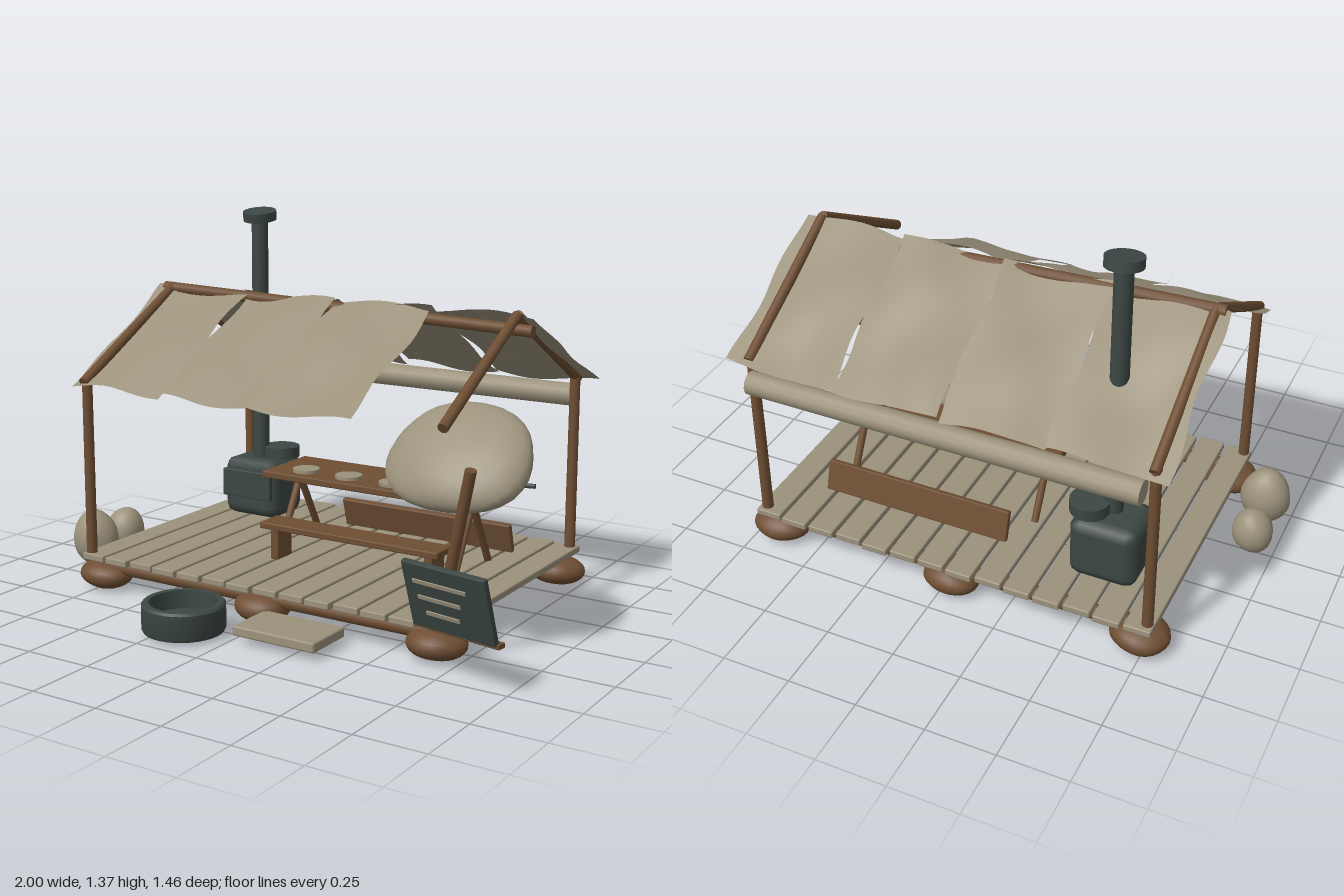
import * as THREE from 'three';
import { toCreasedNormals } from 'three/addons/utils/BufferGeometryUtils.js';
import { RoundedBoxGeometry } from 'three/addons/geometries/RoundedBoxGeometry.js';

export function createModel() {
  const model = new THREE.Group();
  model.name = 'fieldKitchen';
  const material = (name, color) => Object.assign(new THREE.MeshStandardMaterial({ color }), { name });
  const canvas = material('canvas', 0x9c927c);
  canvas.side = THREE.DoubleSide;
  const wood = material('wood', 0x6e4e33);
  const iron = material('iron', 0x3c4744);

  const add = (name, geometry, mat, pos = [0, 0, 0], parent = model) => {
    const mesh = new THREE.Mesh(geometry, mat);
    mesh.name = name;
    mesh.position.set(...pos);
    parent.add(mesh);
    return mesh;
  };
  const box = (name, size, pos, mat, parent) =>
    add(name, new RoundedBoxGeometry(...size, 1, Math.min(...size) * 0.2), mat, pos, parent);
  const disc = (name, r, h, pos, mat, parent) =>
    add(name, new THREE.CylinderGeometry(r, r, h, 28), mat, pos, parent);
  // Round pole between two points
  const pole = (name, a, b, r, mat = wood) => {
    const p = new THREE.Vector3(...a), q = new THREE.Vector3(...b);
    const dir = q.clone().sub(p);
    const mesh = add(name, new THREE.CylinderGeometry(r * 0.95, r, dir.length(), 12), mat,
      p.clone().add(q).multiplyScalar(0.5).toArray());
    mesh.quaternion.setFromUnitVectors(new THREE.Vector3(0, 1, 0), dir.normalize());
    return mesh;
  };
  // Lumpy ellipsoid
  const lump = (name, radii, pos, mat, seed, amount = 0.04) => {
    const g = new THREE.SphereGeometry(1, 24, 16);
    const p = g.attributes.position;
    for (let i = 0; i < p.count; i++) {
      const x = p.getX(i), y = p.getY(i), z = p.getZ(i);
      const k = 1 + amount * Math.sin(3 * x + seed) * Math.cos(2.5 * z + 2 * y - seed);
      p.setXYZ(i, x * k * radii[0], y * k * radii[1], z * k * radii[2]);
    }
    g.computeVertexNormals();
    return add(name, g, mat, pos);
  };

  // Deck of planks on two logs with rounded feet
  const planks = 14, pitch = 1.525 / planks;
  for (let i = 0; i < planks; i++) {
    box('deckPlank', [pitch - 0.012, 0.026, 1.085 + 0.01 * Math.sin(i * 2.3)],
      [-0.795 + pitch * (i + 0.5), 0.132, -0.145], canvas);
  }
  [0.33, -0.615].forEach((z, row) => {
    pole('deckLog', [-0.76, 0.092, z], [0.7, 0.092, z], 0.028);
    [-0.73, -0.03, 0.66].forEach((x, i) =>
      lump('foot', [0.105, 0.054, 0.09], [x, 0.06, z], wood, i + row * 3));
  });

  // Posts, one of them snapped and leaning
  const left = -0.765, right = 0.695, ridgeZ = -0.145;
  pole('backPost', [left, 0.14, -0.65], [left, 0.79, -0.65], 0.02);
  pole('backPost', [right, 0.14, -0.65], [right, 0.79, -0.65], 0.02);
  pole('frontPost', [left, 0.14, 0.37], [left, 0.78, 0.37], 0.02);
  pole('brokenPost', [0.69, 0.14, 0.365], [0.825, 0.68, 0.43], 0.02);

  // Rafters and sagging ridge pole
  for (const x of [left, right]) {
    pole('frontRafter', [x, 0.785, x < 0 ? 0.39 : 0.375], [x, 1.08, ridgeZ], 0.019);
    pole('backRafter', [x, 0.785, -0.67], [x, 1.08, ridgeZ], 0.019);
  }
  pole('ridgePole', [-0.8, 1.075, ridgeZ], [0.755, 1.028, ridgeZ], 0.022);

  // Rumpled canvas roof sheets: u runs across, v from ridge to eave
  const sheet = (x0, x1, eaveZ, seed) => {
    const n = 14;
    const g = new THREE.PlaneGeometry(1, 1, n, n);
    const p = g.attributes.position;
    for (let i = 0; i < p.count; i++) {
      const u = p.getX(i) + 0.5, v = 0.5 - p.getY(i);
      const puff = Math.sin(Math.PI * u) * Math.sin(Math.PI * v);
      const lift = 0.012 * Math.sin(5 * u + 4 * v + seed) + 0.01 * puff * Math.cos(7 * v - 3 * u + seed * 2);
      const x = x0 + (x1 - x0) * u + 0.01 * Math.sin(9 * v + seed) * (2 * u - 1);
      const z = ridgeZ + (eaveZ - ridgeZ) * v + 0.006 * Math.sin(8 * u + seed);
      p.setXYZ(i, x, 1.078 - 0.305 * v + lift, z);
    }
    g.computeVertexNormals();
    add('roofSheet', g, canvas);
  };
  const seams = [-0.815, -0.415, -0.03, 0.362, 0.76];
  for (let i = 0; i < 4; i++) {
    sheet(seams[i], seams[i + 1] + 0.005, -0.69, i * 1.7);
    if (i < 3) sheet(seams[i], seams[i + 1] + 0.005, 0.4, i * 1.7 + 2);
  }
  pole('rolledCanvas', [-0.74, 0.715, -0.692], [0.68, 0.715, -0.692], 0.045, canvas);

  // Collapsed bundle of canvas
  const bundle = lump('fallenCanvas', [0.26, 0.215, 0.085], [0.685, 0.662, 0.237], canvas, 1, 0.06);
  bundle.rotation.set(-0.82, 0, -0.13);

  // Stove with door, chimney and pot
  box('stoveBody', [0.25, 0.235, 0.215], [-0.547, 0.265, -0.433], iron);
  box('stoveDoor', [0.225, 0.11, 0.02], [-0.545, 0.285, -0.316], iron);
  disc('chimney', 0.032, 0.96, [-0.545, 0.86, -0.416], iron);
  disc('chimneyCap', 0.065, 0.035, [-0.545, 1.343, -0.416], iron).rotation.set(0.17, 0, -0.04);
  disc('pot', 0.07, 0.045, [-0.472, 0.405, -0.453], iron);

  // Trestle table
  box('tableTop', [0.875, 0.026, 0.29], [0.148, 0.417, -0.195], wood);
  for (const x of [-0.215, 0.515]) {
    pole('tableLeg', [x, 0.41, -0.185], [x, 0.145, -0.33], 0.014);
    pole('tableLeg', [x, 0.41, -0.205], [x, 0.145, -0.065], 0.014);
  }
  for (const x of [-0.145, 0.04, 0.225, 0.405]) disc('plate', 0.05, 0.012, [x, 0.436, -0.132], canvas);

  // Frying pan
  const pan = toCreasedNormals(new THREE.LatheGeometry(
    [[0, 0], [0.08, 0], [0.092, 0.027], [0.084, 0.027], [0.074, 0.009], [0, 0.009]]
      .map(([r, y]) => new THREE.Vector2(r, y)), 28), 0.5);
  add('fryingPan', pan, iron, [0.477, 0.433, -0.27]);
  pole('panHandle', [0.56, 0.453, -0.275], [0.71, 0.455, -0.295], 0.009, iron);

  // Upright bench and the plank of a toppled one
  box('benchSeat', [0.735, 0.024, 0.115], [0.165, 0.268, 0.037], wood);
  for (const x of [-0.145, 0.49]) box('benchLeg', [0.035, 0.115, 0.095], [x, 0.2, 0.037], wood);
  box('toppledBench', [0.72, 0.115, 0.024], [0.19, 0.2, -0.454], wood).rotation.x = 0.28;

  // Wash tub
  const tub = toCreasedNormals(new THREE.LatheGeometry(
    [[0, 0.02], [0.14, 0.02], [0.145, 0.03], [0.145, 0.112], [0.138, 0.12], [0.118, 0.12], [0.115, 0.055], [0, 0.055]]
      .map(([r, y]) => new THREE.Vector2(r, y)), 32), 0.5);
  add('washTub', tub, iron, [-0.18, 0, 0.58]);

  // Step slab and sacks
  box('stepSlab', [0.325, 0.036, 0.195], [0.183, 0.052, 0.482], canvas);
  lump('sack', [0.09, 0.109, 0.077], [-0.912, 0.129, 0.18], canvas, 2);
  lump('sack', [0.074, 0.085, 0.073], [-0.925, 0.116, -0.015], canvas, 4);

  // Menu board tipping forward on its ledge
  const board = new THREE.Group();
  board.name = 'menuBoard';
  board.position.set(0.828, 0.175, 0.507);
  board.rotation.y = -0.18;
  model.add(board);
  box('boardLedge', [0.335, 0.018, 0.035], [0, 0, -0.005], wood, board);
  const slate = new THREE.Group();
  slate.name = 'slate';
  slate.rotation.x = 0.29;
  board.add(slate);
  box('slatePanel', [0.322, 0.235, 0.022], [0, 0.122, 0.008], iron, slate);
  [[-0.02, 0.178, 0.205], [-0.03, 0.122, 0.165], [-0.025, 0.068, 0.13]].forEach(([x, y, w]) =>
    add('chalkStroke', new THREE.BoxGeometry(w, 0.013, 0.006), canvas, [x, y, 0.021], slate));

  return model;
}
